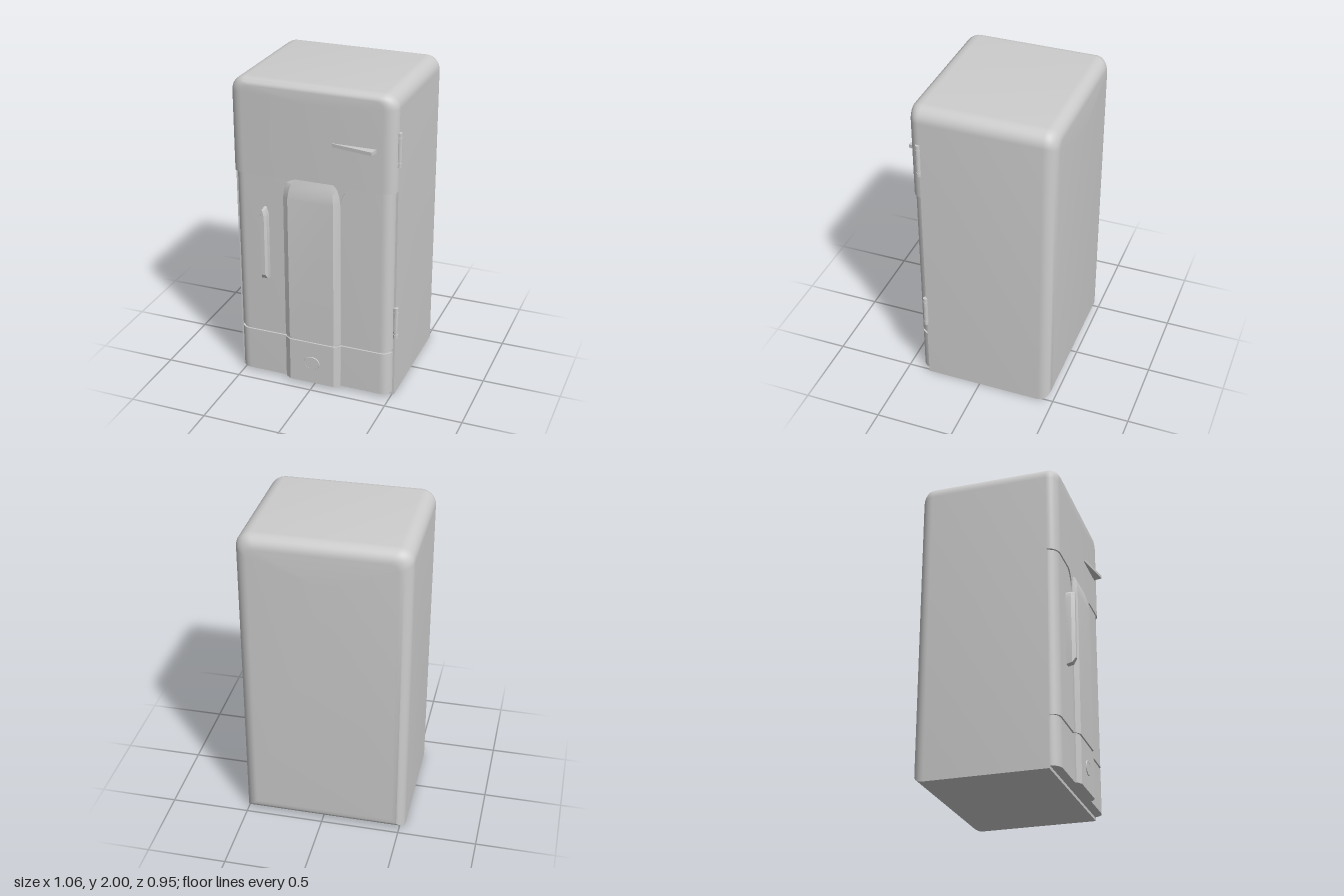
import * as THREE from 'three';
import { toCreasedNormals } from 'three/addons/utils/BufferGeometryUtils.js';

const enamel = new THREE.MeshStandardMaterial({ color: 0xcccccc });
enamel.name = 'greyEnamel';

const LEFT = -0.533, RIGHT = 0.513, MID = -0.01;

function add(group, name, geometry, crease = 0.6) {
  const mesh = new THREE.Mesh(toCreasedNormals(geometry, crease), enamel);
  mesh.name = name;
  group.add(mesh);
  return mesh;
}

// Skin a list of equal-length rings and close both ends
function loft(rings) {
  const pos = [];
  const tri = (...pts) => pts.forEach(p => pos.push(...p));
  const centre = r => [0, 1, 2].map(k => r.reduce((s, p) => s + p[k], 0) / r.length);
  const n = rings[0].length;
  const first = rings[0], last = rings[rings.length - 1];
  const c0 = centre(first), c1 = centre(last);
  for (let j = 0; j < n; j++) {
    const k = (j + 1) % n;
    for (let i = 0; i < rings.length - 1; i++) {
      const a = rings[i], b = rings[i + 1];
      tri(a[j], a[k], b[k], a[j], b[k], b[j]);
    }
    tri(c0, first[k], first[j]);
    tri(c1, last[j], last[k]);
  }
  const g = new THREE.BufferGeometry();
  g.setAttribute('position', new THREE.Float32BufferAttribute(pos, 3));
  return g;
}

// Front outline with square bottom and rounded top corners, inset on each side
function outline(z, y0, side, top, bottom) {
  const r = Math.max(0.09 - side * 0.5, 0.03), steps = 8;
  const x0 = LEFT + side, x1 = RIGHT - side, y1 = 2 - top;
  const pts = [[x0, y0 + bottom, z], [x1, y0 + bottom, z]];
  for (const [cx, start] of [[x1 - r, 0], [x0 + r, Math.PI / 2]]) {
    for (let i = 0; i <= steps; i++) {
      const a = start + (i / steps) * Math.PI / 2;
      pts.push([cx + r * Math.cos(a), y1 - r + r * Math.sin(a), z]);
    }
  }
  return pts;
}

// Plan outline of the lower doors (x, z) with rounded front corners
function planSlab(y0, y1, inset) {
  const x0 = LEFT + 0.013 + inset, x1 = RIGHT - 0.013 - inset, zf = 0.412 - inset;
  const s = new THREE.Shape();
  s.moveTo(x0, -0.34);
  s.lineTo(x1, -0.34);
  s.lineTo(x1, -0.355);
  s.quadraticCurveTo(x1 - 0.015, -zf, x1 - 0.07, -zf);
  s.lineTo(x0 + 0.07, -zf);
  s.quadraticCurveTo(x0 + 0.015, -zf, x0, -0.355);
  s.closePath();
  const g = new THREE.ExtrudeGeometry(s, { depth: y1 - y0, bevelEnabled: false, curveSegments: 8 });
  return g.rotateX(-Math.PI / 2).translate(0, y0, 0);
}

// Cross-section of the raised centre panel at height y
const ridgeRing = (y, shrink, zf) => {
  const o = 0.185 - shrink, i = 0.148 - shrink, zm = Math.min(0.421, zf);
  return [[o, 0.38], [-o, 0.38], [-o, zm], [-i, zf], [i, zf], [o, zm]]
    .map(([x, z]) => [MID + x, y, z]);
};

export function createModel() {
  const model = new THREE.Group();
  model.name = 'refrigerator';

  // Cabinet, rounded towards the back
  const R = 0.08, cabinet = [];
  for (let i = 0; i <= 8; i++) {
    const a = (i / 8) * Math.PI / 2;
    const inset = R * (1 - Math.sin(a));
    cabinet.push(outline(-0.48 + R * (1 - Math.cos(a)), 0, inset, inset, inset));
  }
  cabinet.push(outline(0.355, 0, 0, 0, 0));
  add(model, 'cabinet', loft(cabinet));

  // Upper door, rounded towards the front
  const upper = [];
  for (let i = 0; i <= 8; i++) {
    const a = (i / 8) * Math.PI / 2;
    const k = 1 - Math.cos(a);
    upper.push(outline(0.355 + 0.065 * Math.sin(a), 1.4, 0.08 * k, 0.04 * k, 0));
  }
  add(model, 'upperDoor', loft(upper));

  // Lower door, drawer and the recessed seam between them
  add(model, 'lowerDoor', planSlab(0.33, 1.41, 0));
  add(model, 'drawerFront', planSlab(0.02, 0.312, 0));
  add(model, 'drawerSeam', planSlab(0.3, 0.34, 0.01));

  // Flared apron running from the upper door down behind the centre panel
  const apron = new THREE.Shape();
  apron.moveTo(MID - 0.185, 0.33);
  apron.lineTo(MID + 0.185, 0.33);
  apron.lineTo(MID + 0.185, 1.28);
  apron.bezierCurveTo(MID + 0.19, 1.35, MID + 0.22, 1.395, MID + 0.27, 1.402);
  apron.lineTo(MID - 0.27, 1.402);
  apron.bezierCurveTo(MID - 0.22, 1.395, MID - 0.19, 1.35, MID - 0.185, 1.28);
  add(model, 'apron', new THREE.ExtrudeGeometry(apron,
    { depth: 0.03, bevelEnabled: false, curveSegments: 8 }).translate(0, 0, 0.39));

  // Raised centre panel, fading into the upper door
  add(model, 'centrePanel', loft([
    ridgeRing(0.33, 0, 0.445), ridgeRing(1.28, 0, 0.445), ridgeRing(1.34, 0.008, 0.438),
    ridgeRing(1.38, 0.022, 0.429), ridgeRing(1.41, 0.045, 0.419)]), 0.35);
  add(model, 'drawerCentrePanel', loft([ridgeRing(0.02, 0, 0.445), ridgeRing(0.312, 0, 0.445)]), 0.35);
  add(model, 'seamCentre', loft([ridgeRing(0.3, 0.008, 0.435), ridgeRing(0.34, 0.008, 0.435)]), 0.35);

  // Oval badge
  const badge = new THREE.Group();
  badge.name = 'badge';
  badge.position.set(MID, 0.165, 0.445);
  badge.scale.set(1, 0.85, 1);
  model.add(badge);
  add(badge, 'badgeDisc', new THREE.CylinderGeometry(0.048, 0.048, 0.008, 32).rotateX(Math.PI / 2));
  add(badge, 'badgeRim', new THREE.TorusGeometry(0.049, 0.005, 6, 32));

  // Upright handle: pointed top, slanted foot, narrower front face
  const grip = (z, w, y0, y1) => [[-w, y0], [w, y0], [w, y1 - 0.05], [w * 0.45, y1 - 0.012],
    [0, y1], [-w * 0.45, y1 - 0.012], [-w, y1 - 0.05]].map(([x, y]) => [-0.317 + x, y, z]);
  add(model, 'lowerHandle', loft([grip(0.405, 0.021, 0.71, 1.2), grip(0.448, 0.021, 0.72, 1.2),
    grip(0.47, 0.012, 0.752, 1.195)]), 0.3);

  // Wedge handle of the upper door
  const wedge = new THREE.Shape([[0.125, -0.415], [0.397, -0.415], [0.385, -0.475], [0.125, -0.426]]
    .map(p => new THREE.Vector2(...p)));
  add(model, 'upperHandle', new THREE.ExtrudeGeometry(wedge, { depth: 0.022, bevelEnabled: false })
    .rotateX(-Math.PI / 2).translate(0, 1.65, 0), 0.3);

  // Hinges: a long barrel with a slim cap at each end
  for (const [name, y] of [['upperHinge', 1.663], ['lowerHinge', 0.52]]) {
    const hinge = new THREE.Group();
    hinge.name = name;
    hinge.position.set(0.516, y, 0.358);
    model.add(hinge);
    add(hinge, 'hingeBarrel', new THREE.CylinderGeometry(0.0145, 0.0145, 0.15, 14));
    add(hinge, 'hingePin', new THREE.CylinderGeometry(0.011, 0.011, 0.2, 14));
    for (const s of [-1, 1]) {
      add(hinge, 'hingeCap', new THREE.CylinderGeometry(0.0145, 0.0145, 0.026, 14)
        .translate(0, s * 0.093, 0));
    }
  }
  return model;
}
